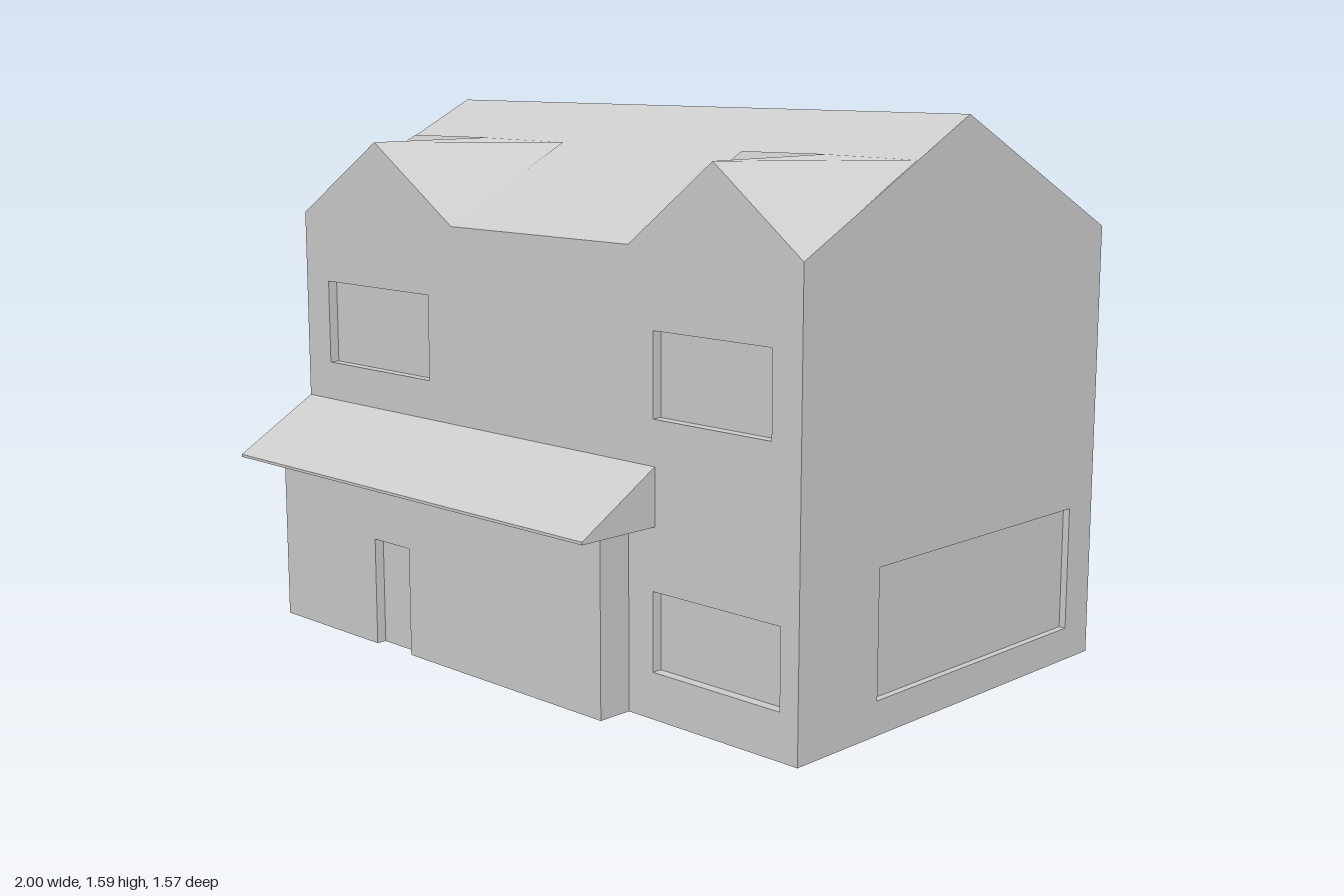
import * as THREE from 'three';

const EAVE = 1.255, RIDGE = 1.585, FRONT = 0.525, BACK = -0.785, RIDGE_Z = -0.13;
const REVEAL = 0.03, SIDE_REVEAL = 0.02;

const material = new THREE.MeshStandardMaterial({ color: 0xcccccc, flatShading: true });
const sheetMaterial = new THREE.MeshStandardMaterial({ color: 0xcccccc, side: THREE.DoubleSide });

const rect = (x0, x1, y0, y1) => [[x0, y0], [x1, y0], [x1, y1], [x0, y1]];
const points = (list) => list.map(([x, y]) => new THREE.Vector2(x, y));

// Extruded outline with openings; extrusion starts at z = 0
function slab(outline, openings, depth) {
  const shape = new THREE.Shape(points(outline));
  for (const o of openings) shape.holes.push(new THREE.Path(points(rect(...o))));
  return new THREE.ExtrudeGeometry(shape, { depth, bevelEnabled: false });
}

// Same, running along +x from x0; outline is given as [-z, y]
function slabAlongX(outline, openings, x0, x1) {
  return slab(outline, openings, x1 - x0).rotateY(Math.PI / 2).translate(x0, 0, 0);
}

// One four-cornered sheet with a single normal, split along corners 0-2
function sheet(a, b, c, d) {
  const [p, q, r, s] = [a, b, c, d].map((v) => new THREE.Vector3(...v));
  const n = r.clone().sub(p).cross(s.clone().sub(q)).normalize();
  const geometry = new THREE.BufferGeometry().setFromPoints([p, q, r, s]);
  const normals = [0, 1, 2, 3].flatMap(() => n.toArray());
  geometry.setAttribute('normal', new THREE.Float32BufferAttribute(normals, 3));
  geometry.setIndex([0, 1, 2, 0, 2, 3]);
  return geometry;
}

export function createModel() {
  const house = new THREE.Group();
  house.name = 'house';
  const add = (name, geometry, mat = material) => {
    const mesh = new THREE.Mesh(geometry, mat);
    mesh.name = name;
    house.add(mesh);
  };

  // Solid core: its faces show as the panes at the bottom of the openings
  const slope = (RIDGE - EAVE) / (FRONT - RIDGE_Z);
  const gableEnd = (inset) => [
    [-FRONT + inset, 0], [-BACK - inset, 0], [-BACK - inset, EAVE + inset * slope],
    [-RIDGE_Z, RIDGE], [-FRONT + inset, EAVE + inset * slope],
  ];
  add('core', slabAlongX(gableEnd(REVEAL), [], -1 + SIDE_REVEAL, 1 - SIDE_REVEAL));

  // Gable end walls; the left side of the house has the wide window
  add('leftWall', slabAlongX(gableEnd(0), [[-0.21, 0.67, 0.095, 0.45]], 1 - SIDE_REVEAL, 1));
  add('rightWall', slabAlongX(gableEnd(0), [], -1, -1 + SIDE_REVEAL));

  // Front wall with two gables
  const gables = [
    { left: -1, peak: -0.645, right: -0.3 },
    { left: 0.41, peak: 0.705, right: 1 },
  ];
  const PEAK = 1.48;
  const frontOutline = [[-1, 0], [1, 0]];
  for (const g of [...gables].reverse()) {
    frontOutline.push([g.right, EAVE], [g.peak, PEAK], [g.left, EAVE]);
  }
  const frontWindows = [
    [-0.89, -0.41, 0.8, 1.05],
    [0.5, 0.905, 0.81, 1.04],
    [0.5, 0.94, 0.13, 0.35],
  ];
  add('frontWall', slab(frontOutline, frontWindows, REVEAL).translate(0, 0, FRONT - REVEAL));

  // Back wall with a door notch and a long window
  const backOutline = [
    [-1, 0], [-0.64, 0], [-0.64, 0.315], [-0.47, 0.315], [-0.47, 0], [1, 0], [1, EAVE], [-1, EAVE],
  ];
  add('backWall', slab(backOutline, [[-0.53, 0.485, 0.735, 1.08]], REVEAL)
    .rotateY(Math.PI).translate(0, 0, BACK + REVEAL).rotateY(0));

  // Main roof slopes
  add('frontRoof', sheet([-1, EAVE, FRONT], [1, EAVE, FRONT], [1, RIDGE, RIDGE_Z], [-1, RIDGE, RIDGE_Z]), sheetMaterial);
  add('backRoof', sheet([1, EAVE, BACK], [-1, EAVE, BACK], [-1, RIDGE, RIDGE_Z], [1, RIDGE, RIDGE_Z]), sheetMaterial);

  // Roofs behind the front gables, running back into the main slope
  const MEET = 0.09, MEET_Y = 1.477;
  for (const g of gables) {
    const peakFront = [g.peak, PEAK, FRONT], peakBack = [g.peak, PEAK, MEET];
    add('gableRoofRightHalf', sheet([g.left, EAVE, FRONT], peakFront, peakBack, [g.left, MEET_Y, MEET]), sheetMaterial);
    add('gableRoofLeftHalf', sheet(peakFront, [g.right, EAVE, FRONT], [g.right, MEET_Y, MEET], peakBack), sheetMaterial);
  }

  // Porch: front panel with a door notch over a solid block
  const PORCH_FRONT = 0.63, PORCH_TOP = 0.525, PORCH_END = 0.41;
  const porchOutline = [
    [-1, 0], [-0.55, 0], [-0.55, 0.32], [-0.39, 0.32], [-0.39, 0],
    [PORCH_END, 0], [PORCH_END, PORCH_TOP], [-1, PORCH_TOP],
  ];
  add('porchFront', slab(porchOutline, [], REVEAL).translate(0, 0, PORCH_FRONT - REVEAL));
  add('porchBody', slab(rect(-1, PORCH_END, 0, PORCH_TOP), [], PORCH_FRONT - REVEAL - FRONT)
    .translate(0, 0, FRONT));

  // Lean-to roof over the porch
  const porchRoof = [[-0.785, PORCH_TOP], [-FRONT, PORCH_TOP], [-FRONT, 0.685], [-0.785, 0.533]];
  add('porchRoof', slabAlongX(porchRoof, [], -1, 0.507));

  return house;
}
